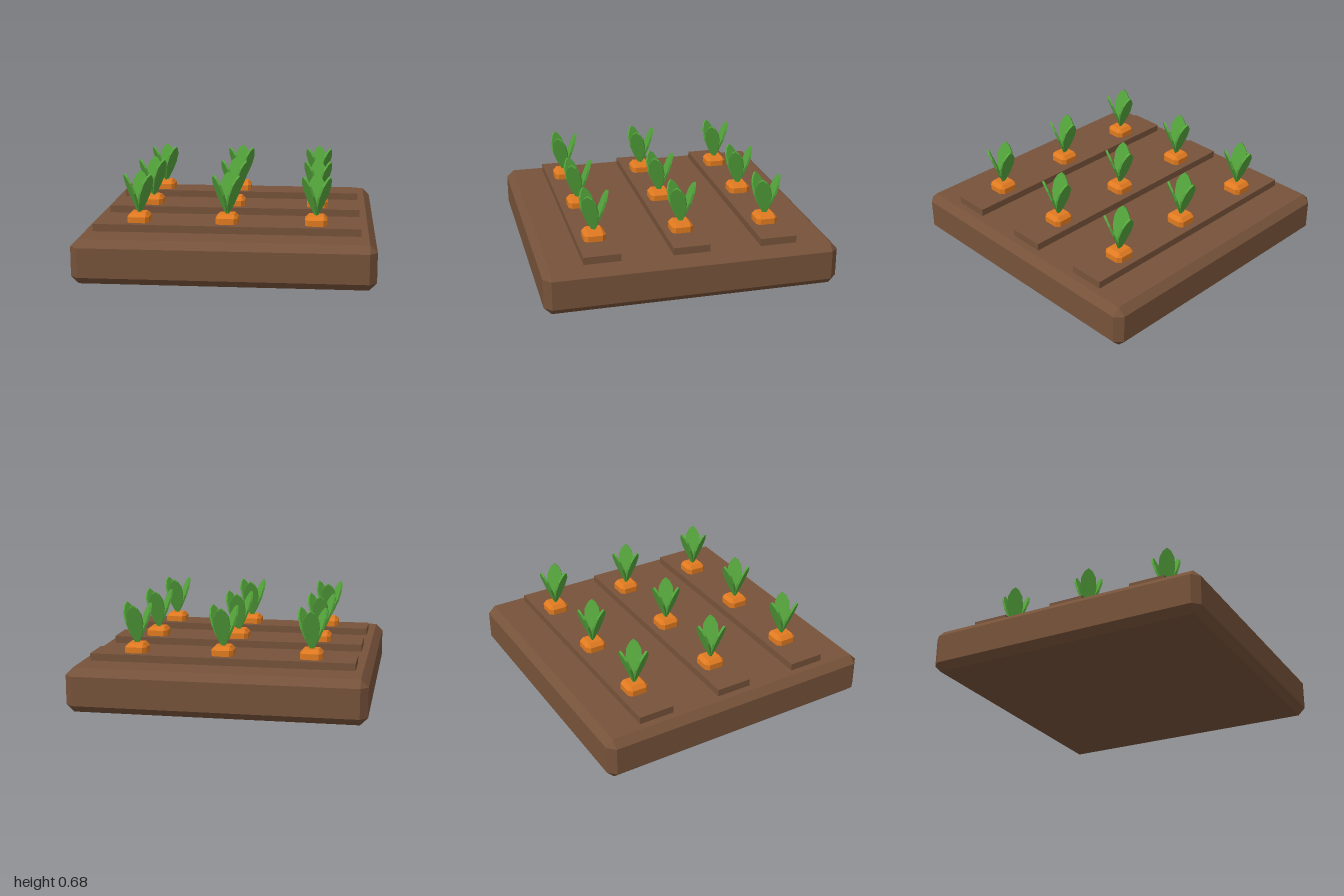
import * as THREE from 'three';
import { ConvexGeometry } from 'three/addons/geometries/ConvexGeometry.js';

// Box with every edge and corner cut by c, centred on the origin
function chamferBox(w, h, d, c) {
  const points = [];
  for (const sx of [-1, 1]) for (const sy of [-1, 1]) for (const sz of [-1, 1]) {
    const x = w / 2, y = h / 2, z = d / 2;
    points.push(
      new THREE.Vector3(sx * x, sy * (y - c), sz * (z - c)),
      new THREE.Vector3(sx * (x - c), sy * y, sz * (z - c)),
      new THREE.Vector3(sx * (x - c), sy * (y - c), sz * z));
  }
  return new ConvexGeometry(points);
}

// Flat pointed leaf standing on its stem, then leaned backwards
function leafGeometry() {
  const half = [[0.01, 0], [0.04, 0.075], [0.056, 0.15], [0.05, 0.225], [0.027, 0.268]];
  const outline = [
    ...half.map(([x, y]) => new THREE.Vector2(x, y)),
    new THREE.Vector2(0, 0.29),
    ...half.slice().reverse().map(([x, y]) => new THREE.Vector2(-x, y)),
  ];
  const thickness = 0.015;
  return new THREE.ExtrudeGeometry(new THREE.Shape(outline), { depth: thickness, bevelEnabled: false })
    .translate(0, 0, -thickness / 2)
    .rotateX(-0.35);
}

export function createModel() {
  const soil = new THREE.MeshStandardMaterial({ name: 'soil brown', color: 0x76523a });
  const orange = new THREE.MeshStandardMaterial({ name: 'carrot orange', color: 0xe07a20 });
  const green = new THREE.MeshStandardMaterial({ name: 'leaf green', color: 0x55a63c });

  const model = new THREE.Group();
  model.name = 'carrotPatch';
  const add = (parent, name, geometry, material, x = 0, y = 0, z = 0) => {
    const mesh = new THREE.Mesh(geometry, material);
    mesh.name = name;
    mesh.position.set(x, y, z);
    parent.add(mesh);
    return mesh;
  };

  // Soil bed
  add(model, 'soilBed', chamferBox(2, 0.3, 2, 0.05), soil, 0, 0.15, 0);

  const ridge = new THREE.BoxGeometry(1.8, 0.1, 0.25);
  const root = chamferBox(0.15, 0.15, 0.15, 0.025);
  const leaf = leafGeometry();

  for (const z of [-0.6, 0, 0.6]) {
    // Raised planting row
    add(model, 'plantingRow', ridge, soil, 0, 0.3, z);
    for (const x of [-0.6, 0, 0.6]) {
      // Carrot: root top and three leaves fanned around it
      const carrot = new THREE.Group();
      carrot.name = 'carrot';
      carrot.position.set(x, 0, z);
      add(carrot, 'carrotRoot', root, orange, 0, 0.34, 0);
      for (let i = 0; i < 3; i++) {
        add(carrot, 'carrotLeaf', leaf, green, 0, 0.41, 0).rotation.y = i * Math.PI * 2 / 3;
      }
      model.add(carrot);
    }
  }
  return model;
}
